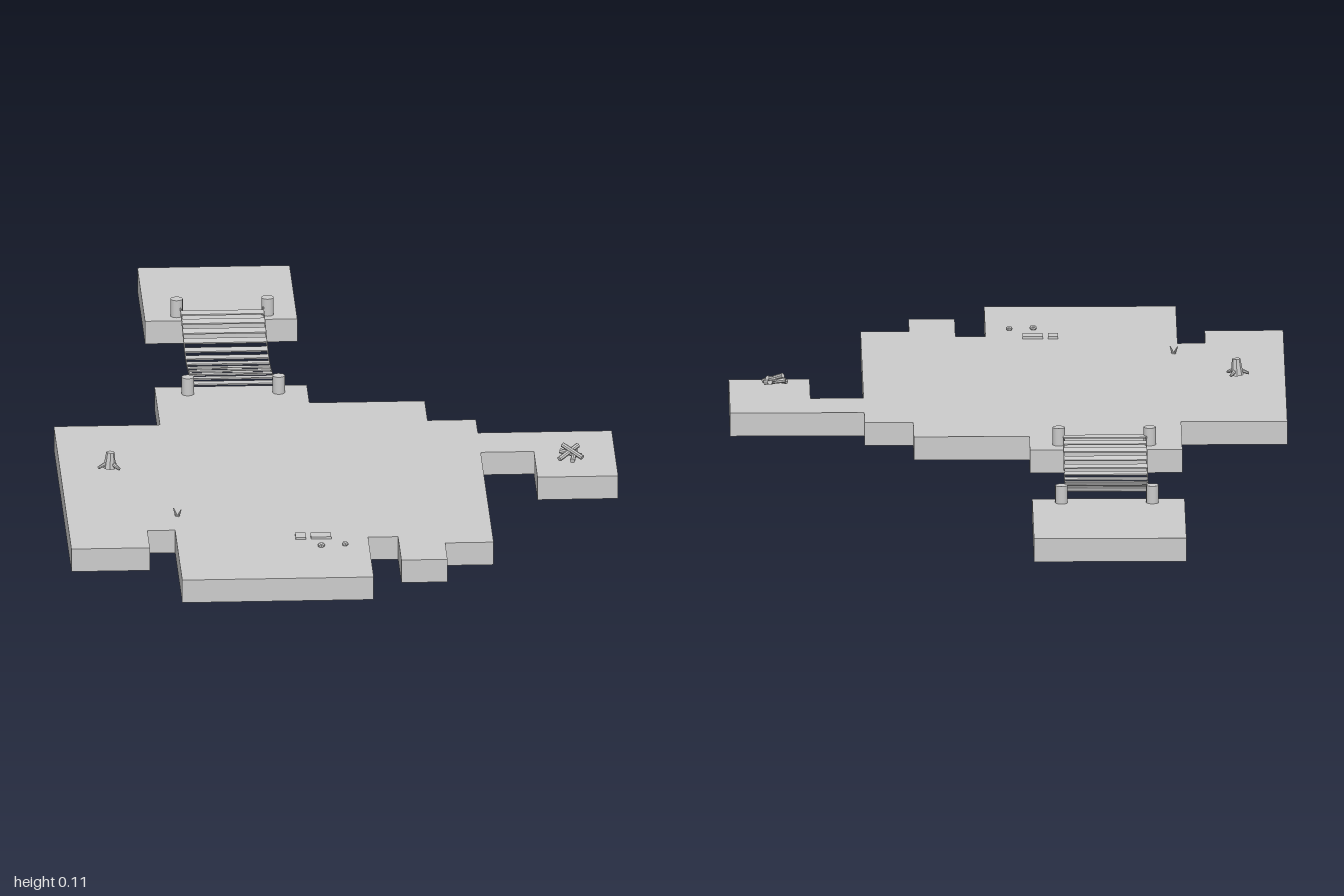
import * as THREE from 'three';

const TOP = 0.052;
const mat = new THREE.MeshStandardMaterial({ color: 0xcccccc, flatShading: true });
const matSmooth = new THREE.MeshStandardMaterial({ color: 0xcccccc });

function add(parent, name, geometry, x = 0, y = 0, z = 0, material = mat) {
  const mesh = new THREE.Mesh(geometry, material);
  mesh.name = name;
  mesh.position.set(x, y, z);
  parent.add(mesh);
  return mesh;
}

// Straight round beam between two points
function beam(parent, name, a, b, r0, r1 = r0) {
  const from = new THREE.Vector3(...a), to = new THREE.Vector3(...b);
  const dir = to.clone().sub(from);
  const mesh = add(parent, name, new THREE.CylinderGeometry(r1, r0, dir.length(), 8));
  mesh.position.copy(from).add(to).multiplyScalar(0.5);
  mesh.quaternion.setFromUnitVectors(new THREE.Vector3(0, 1, 0), dir.normalize());
  return mesh;
}

// Flat slab from an outline of [x, z] corners
function slab(parent, name, outline) {
  const shape = new THREE.Shape(outline.map(([x, z]) => new THREE.Vector2(x, -z)));
  const geometry = new THREE.ExtrudeGeometry(shape, { depth: TOP, bevelEnabled: false });
  geometry.rotateX(-Math.PI / 2);
  return add(parent, name, geometry);
}

// Suspension bridge with a sagging deck
function createBridge() {
  const bridge = new THREE.Group();
  bridge.name = 'bridge';
  const zNear = -0.19, zFar = -0.69, xs = [-0.305, -0.108];
  const sag = (z) => 0.057 + 0.015 * Math.cos((2 * Math.PI * (z - zNear)) / (zFar - zNear));
  const slope = (z) => (sag(z + 0.005) - sag(z - 0.005)) / 0.01;

  for (const x of xs) {
    for (const z of [zNear, zFar]) {
      add(bridge, 'bridgePost', new THREE.CylinderGeometry(0.0135, 0.0135, 0.039, 16),
        x, TOP + 0.0195, z, matSmooth);
    }
  }
  for (const x of [-0.297, -0.118]) {
    const points = [];
    for (let i = 0; i <= 12; i++) {
      const z = zNear + ((zFar - zNear) * i) / 12;
      points.push(new THREE.Vector3(x, sag(z), z));
    }
    add(bridge, 'bridgeRope',
      new THREE.TubeGeometry(new THREE.CatmullRomCurve3(points), 32, 0.0015, 6), 0, 0, 0, matSmooth);
  }
  for (let i = 0; i < 12; i++) {
    const z = -0.2 - i * 0.0412;
    const plank = add(bridge, 'bridgePlank', new THREE.BoxGeometry(0.178, 0.003, 0.021), -0.2075, sag(z), z);
    plank.rotation.x = -Math.atan(slope(z));
  }
  return bridge;
}

// Pile of crossed logs
function createLogPile() {
  const pile = new THREE.Group();
  pile.name = 'logPile';
  const logs = [
    [[-0.024, 0.008, 0.016], [0.018, 0.026, -0.022]],
    [[0.026, 0.01, 0.014], [-0.016, 0.03, -0.016]],
    [[-0.022, 0.018, -0.01], [0.024, 0.01, 0.002]],
    [[0.004, 0.006, 0.024], [0.012, 0.016, -0.02]],
  ];
  for (const [a, b] of logs) beam(pile, 'log', a, b, 0.0055);
  pile.position.set(0.5, TOP + 0.006, 0.29);
  return pile;
}

// Broken stump with spreading roots
function createStump() {
  const stump = new THREE.Group();
  stump.name = 'stump';
  beam(stump, 'stumpTrunk', [0, 0, 0], [0.002, 0.036, 0], 0.014, 0.009);
  const roots = [[-0.025, 0.002, 0.006], [0.021, 0.002, 0.017], [0.014, 0.002, -0.018]];
  for (const tip of roots) beam(stump, 'stumpRoot', tip, [0, 0.014, 0], 0.003, 0.006);
  stump.position.set(-0.5, TOP + 0.02, 0.33);
  return stump;
}

export function createModel() {
  const model = new THREE.Group();
  model.name = 'islands';

  // Ground platforms
  slab(model, 'mainIsland', [
    [-0.375, -0.235], [-0.045, -0.235], [-0.045, -0.12], [0.205, -0.12],
    [0.205, 0.005], [0.31, 0.005], [0.31, 0.09], [0.6, 0.09],
    [0.6, 0.38], [0.425, 0.38], [0.425, 0.215], [0.31, 0.215],
    [0.31, 0.79], [0.205, 0.79], [0.205, 0.895], [0.105, 0.895],
    [0.105, 0.745], [0.04, 0.745], [0.04, 1], [-0.375, 1],
    [-0.375, 0.68], [-0.435, 0.68], [-0.435, 0.79], [-0.605, 0.79],
    [-0.605, 0.005], [-0.375, 0.005],
  ]);
  slab(model, 'backIsland', [[-0.375, -1], [-0.045, -1], [-0.045, -0.657], [-0.375, -0.657]]);

  model.add(createBridge(), createLogPile(), createStump());

  // Low paving stones
  add(model, 'pavingStone', new THREE.BoxGeometry(0.022, 0.005, 0.032), -0.106, TOP + 0.0025, 0.737);
  add(model, 'pavingStone', new THREE.BoxGeometry(0.044, 0.005, 0.03), -0.062, TOP + 0.0025, 0.737);

  // Pebbles
  for (const [x, z, r] of [[-0.064, 0.802, 0.009], [-0.012, 0.796, 0.008]]) {
    const pebble = add(model, 'pebble', new THREE.IcosahedronGeometry(r, 0), x, TOP + 0.004, z);
    pebble.scale.y = 0.7;
  }

  // Small sprout of two leaning twigs
  const sprout = new THREE.Group();
  sprout.name = 'sprout';
  beam(sprout, 'twig', [0, 0, 0], [-0.007, 0.017, -0.006], 0.003, 0.001);
  beam(sprout, 'twig', [0.003, 0, 0], [0.009, 0.016, 0.003], 0.003, 0.001);
  sprout.position.set(-0.367, TOP, 0.592);
  model.add(sprout);

  return model;
}
